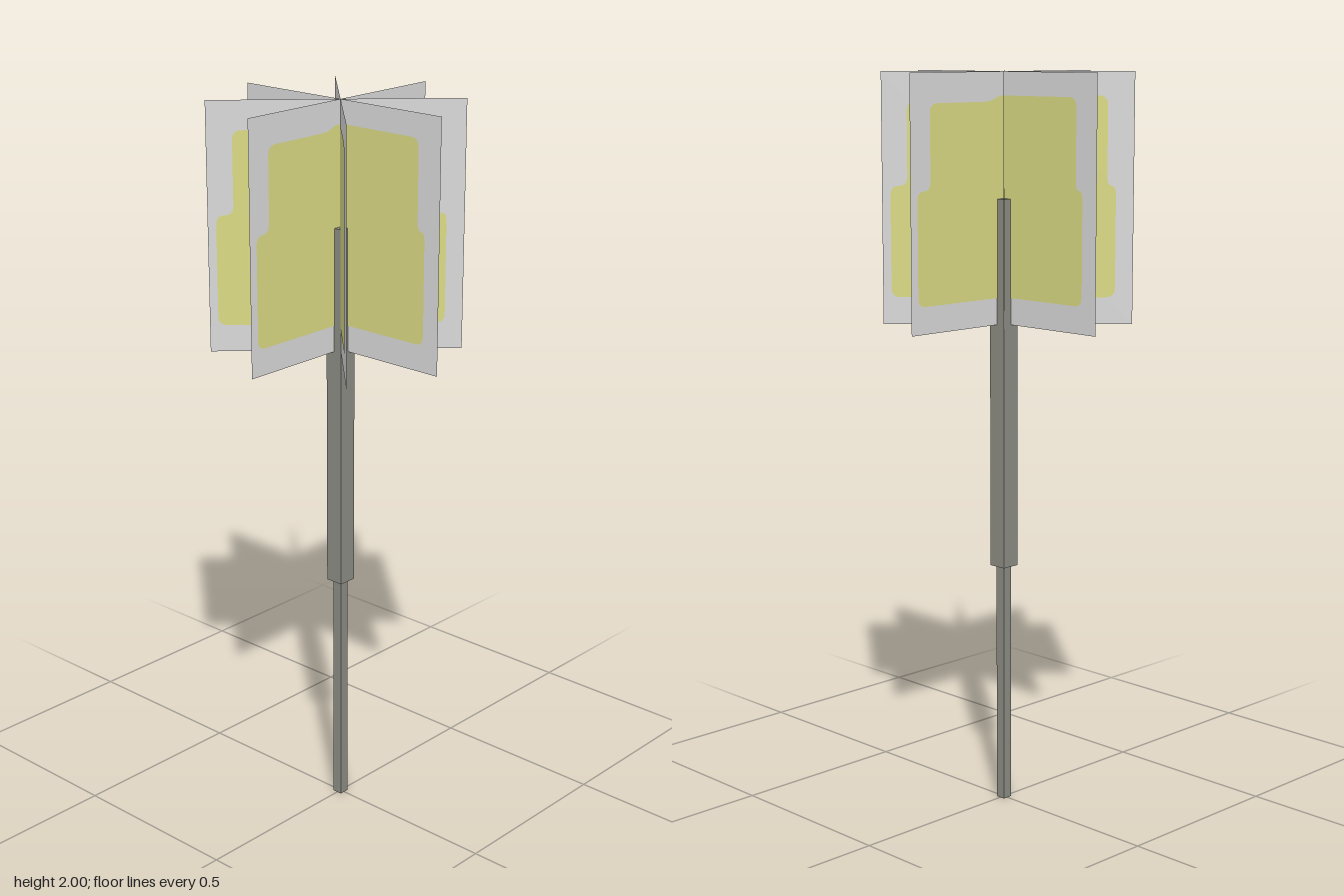
import * as THREE from 'three';

// Polygon outline with softened corners
function roundedShape(points, r) {
  const shape = new THREE.Shape();
  const pts = points.map(([x, y]) => new THREE.Vector2(x, y));
  pts.forEach((p, i) => {
    const prev = pts[(i + pts.length - 1) % pts.length];
    const next = pts[(i + 1) % pts.length];
    const toward = (q) => p.clone().add(
      q.clone().sub(p).setLength(Math.min(r, p.distanceTo(q) / 2)));
    const a = toward(prev), b = toward(next);
    if (i === 0) shape.moveTo(a.x, a.y);
    else shape.lineTo(a.x, a.y);
    shape.quadraticCurveTo(p.x, p.y, b.x, b.y);
  });
  shape.closePath();
  return shape;
}

export function createModel() {
  const model = new THREE.Group();
  const panelGrey = new THREE.MeshStandardMaterial({ color: 0xd8d8d8, side: THREE.DoubleSide });
  panelGrey.name = 'panel grey';
  const paleYellow = new THREE.MeshStandardMaterial({ color: 0xd9d983 });
  paleYellow.name = 'pale yellow';
  const poleGrey = new THREE.MeshStandardMaterial({ color: 0x8c8c84 });
  poleGrey.name = 'pole grey';

  // Square pole in two thicknesses
  const addPole = (name, width, y0, y1) => {
    const mesh = new THREE.Mesh(new THREE.BoxGeometry(width, y1 - y0, width), poleGrey);
    mesh.name = name;
    mesh.position.y = (y0 + y1) / 2;
    model.add(mesh);
  };
  addPole('lowerPole', 0.028, 0, 0.67);
  addPole('upperPole', 0.052, 0.67, 1.67);

  // Stepped yellow patch, relative to the panel centre
  const patchGeometry = new THREE.ShapeGeometry(roundedShape([
    [-0.31, -0.26], [0.285, -0.26], [0.285, 0.035], [0.262, 0.035],
    [0.262, 0.27], [-0.02, 0.27], [-0.05, 0.255], [-0.265, 0.255],
    [-0.265, 0.035], [-0.31, 0.035],
  ], 0.025), 6);
  const panelGeometry = new THREE.PlaneGeometry(0.664, 0.664);

  // Four crossed panels, each with the patch on both sides
  const addPanel = (name, angle, x, z) => {
    const group = new THREE.Group();
    group.name = name;
    group.position.set(x, 1.668, z);
    group.rotation.y = angle;
    const panel = new THREE.Mesh(panelGeometry, panelGrey);
    panel.name = 'panel';
    group.add(panel);
    for (const side of [1, -1]) {
      const patch = new THREE.Mesh(patchGeometry, paleYellow);
      patch.name = side > 0 ? 'frontPatch' : 'backPatch';
      patch.position.z = side * 0.002;
      patch.rotation.y = side > 0 ? 0 : Math.PI;
      group.add(patch);
    }
    model.add(group);
  };
  addPanel('widePanel', 0, 0, 0);
  addPanel('deepPanel', Math.PI / 2, 0, 0);
  addPanel('diagonalPanelA', -Math.PI / 4, -0.0075, -0.0075);
  addPanel('diagonalPanelB', Math.PI / 4, -0.0075, 0.0075);

  return model;
}
